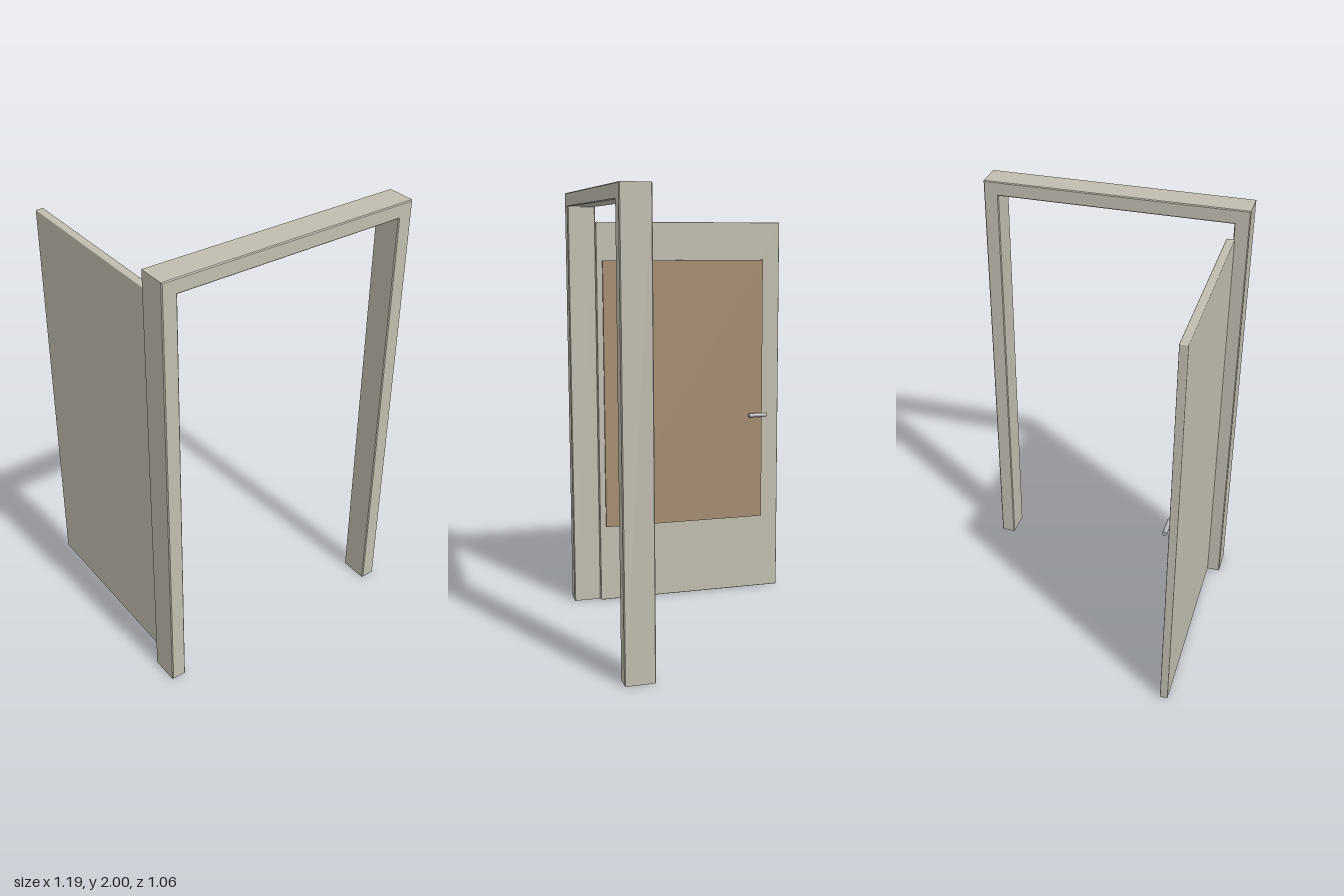
import * as THREE from 'three';
import { RoundedBoxGeometry } from 'three/addons/geometries/RoundedBoxGeometry.js';

const paint = new THREE.MeshStandardMaterial({ name: 'warm grey paint', color: 0xc0bdaf });
const wood = new THREE.MeshStandardMaterial({ name: 'brown panel', color: 0xa58b70 });
const metal = new THREE.MeshStandardMaterial({ name: 'handle metal', color: 0xb4b4b4 });

function add(group, name, geometry, material, x = 0, y = 0, z = 0) {
  const mesh = new THREE.Mesh(geometry, material);
  mesh.name = name;
  mesh.position.set(x, y, z);
  group.add(mesh);
  return mesh;
}

// Upside-down U outline with a small chamfer on front and back edges
function frameGeometry() {
  const b = 0.004, outer = 0.597 - b, inner = 0.53 + b, top = 2 - b, under = 1.935 + b;
  const shape = new THREE.Shape([
    [-outer, b], [-inner, b], [-inner, under], [inner, under],
    [inner, b], [outer, b], [outer, top], [-outer, top],
  ].map(([x, y]) => new THREE.Vector2(x, y)));
  return new THREE.ExtrudeGeometry(shape, {
    depth: 0.132 - 2 * b, bevelEnabled: true, bevelThickness: b, bevelSize: b, bevelSegments: 1,
  }).translate(0, 0, b);
}

export function createModel() {
  const model = new THREE.Group();
  model.name = 'openDoor';

  // Door frame
  add(model, 'doorFrame', frameGeometry(), paint, 0, 0, 0.396);

  // Door leaf, swung open to the back
  const door = new THREE.Group();
  door.name = 'door';
  model.add(door);
  add(door, 'doorLeaf', new RoundedBoxGeometry(0.036, 1.863, 0.928, 2, 0.004), paint, -0.519, 0.9335, -0.064);

  // Raised panel on the inner face
  add(door, 'doorPanel', new THREE.BoxGeometry(0.016, 1.306, 0.81), wood, -0.499, 1.029, -0.034);

  // Lever handle
  const handle = add(door, 'handle', new THREE.CylinderGeometry(0.01, 0.01, 0.093, 20), metal, -0.47, 0.905, -0.409);
  handle.rotation.x = Math.PI / 2;

  return model;
}
